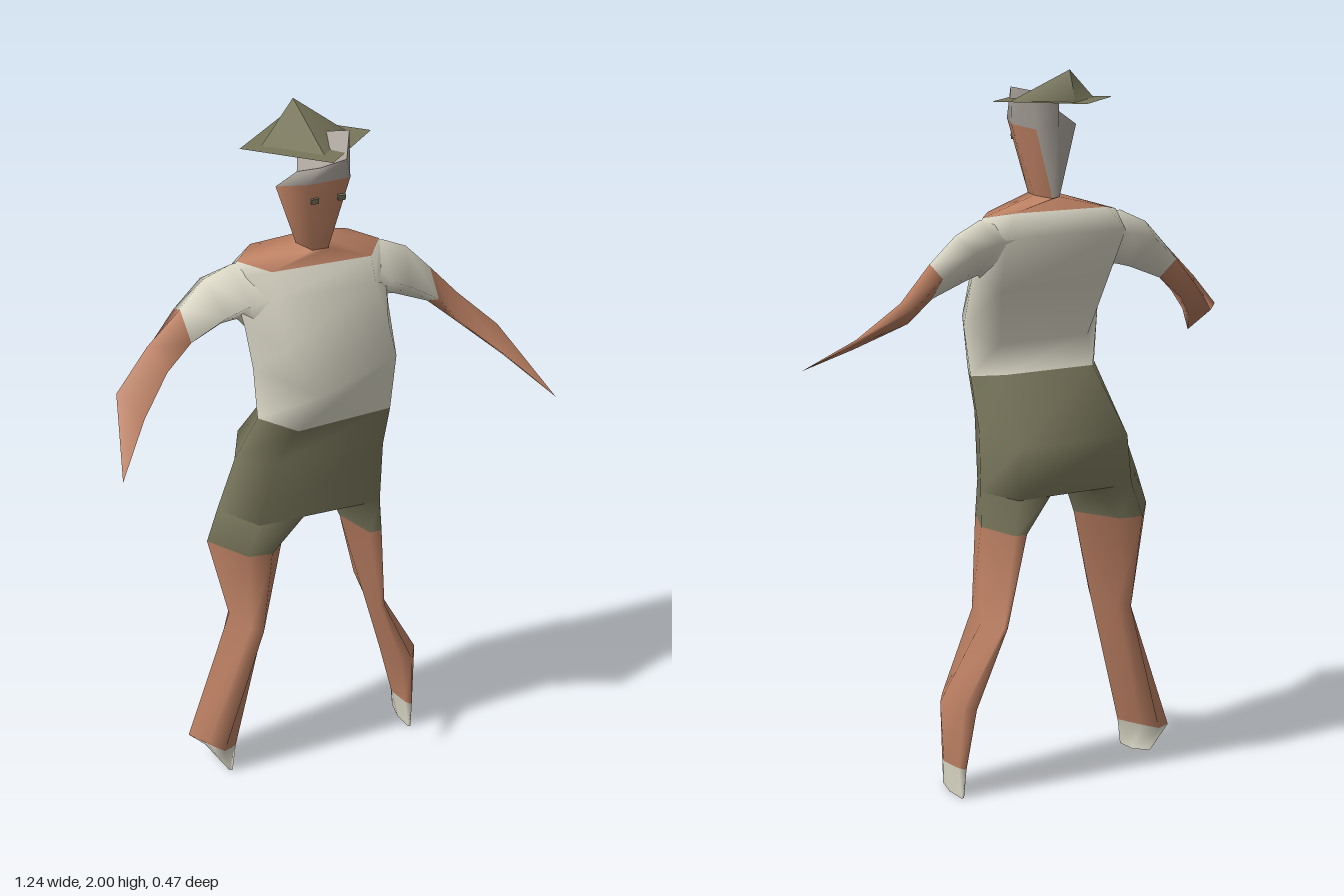
import * as THREE from 'three';

const material = (name, color, side = THREE.FrontSide) => {
  const m = new THREE.MeshStandardMaterial({ color, side });
  m.name = name;
  return m;
};

// Smooth skin over rings of points; pick(i, j) chooses the material of each quad
function loft(name, rings, mats, pick) {
  const n = rings[0].length, last = rings.length - 1;
  // The end rings are repeated so the caps keep a sharp edge
  const pos = [...rings, rings[0], rings[last]].flat(2);
  const lists = mats.map(() => []);
  for (let i = 0; i < last; i++) {
    for (let j = 0; j < n; j++) {
      const k = (j + 1) % n;
      const a = i * n + j, b = i * n + k, c = a + n, d = b + n;
      lists[pick(i, j)].push(a, b, d, a, d, c);
    }
  }
  const bottom = (last + 1) * n, top = bottom + n;
  for (let j = 1; j < n - 1; j++) {
    lists[pick(0, 0)].push(bottom, bottom + j + 1, bottom + j);
    lists[pick(last - 1, 0)].push(top, top + j, top + j + 1);
  }
  const geo = new THREE.BufferGeometry();
  geo.setAttribute('position', new THREE.Float32BufferAttribute(pos, 3));
  geo.setIndex(lists.flat());
  let start = 0;
  lists.forEach((list, m) => {
    geo.addGroup(start, list.length, m);
    start += list.length;
  });
  geo.computeVertexNormals();
  const mesh = new THREE.Mesh(geo, mats);
  mesh.name = name;
  return mesh;
}

// Level six-sided ring from its bounds; skew turns its left side forward, its right side back
function hexRing(y, x0, x1, zf, zb, skew = 0) {
  const w = x1 - x0, zm = (zf + zb) / 2;
  const a = x0 + w * 0.35, b = x0 + w * 0.65;
  return [[x0, y, zm - skew], [a, y, zf - skew], [b, y, zf], [x1, y, zm + skew], [b, y, zb + skew], [a, y, zb]];
}

export function createModel() {
  const group = new THREE.Group();
  const skin = material('skin', 0xbb7f62);
  const shirt = material('offWhiteCloth', 0xd8d5c4);
  const olive = material('oliveCloth', 0x78765b, THREE.DoubleSide);
  const hair = material('greyHair', 0xaaa39b);

  // Torso: shorts, shirt, then bare collar rising to the neck
  const neck = [[-0.05, 1.66, -0.01], [-0.03, 1.66, 0.055], [0.015, 1.66, 0.055], [0.03, 1.66, -0.01], [0.02, 1.66, -0.095], [-0.015, 1.66, -0.07]];
  const torso = [
    [[-0.27, 0.87, -0.06], [-0.19, 0.87, 0.066], [0.17, 0.87, 0.066], [0.222, 0.87, -0.06], [0.17, 0.87, -0.186], [-0.18, 0.87, -0.186]],
    [[-0.215, 1.02, -0.06], [-0.15, 1.06, 0.08], [0.17, 1.06, 0.08], [0.225, 1.04, -0.06], [0.18, 1.02, -0.21], [-0.15, 1.02, -0.21]],
    [[-0.175, 1.18, 0.02], [-0.1, 1.18, 0.13], [0.18, 1.18, 0.1], [0.22, 1.18, 0], [0.15, 1.19, -0.07], [-0.12, 1.19, -0.07]],
    [[-0.185, 1.33, 0.02], [-0.06, 1.31, 0.2], [0.2, 1.33, 0.09], [0.22, 1.31, 0.04], [0.15, 1.27, -0.04], [-0.12, 1.27, -0.04]],
    [[-0.205, 1.45, 0.02], [-0.13, 1.43, 0.135], [0.17, 1.44, 0.1], [0.213, 1.45, 0], [0.17, 1.42, -0.09], [-0.15, 1.42, -0.09]],
    [[-0.22, 1.57, -0.04], [-0.14, 1.55, 0.08], [0.14, 1.55, 0.08], [0.22, 1.57, -0.04], [0.18, 1.57, -0.14], [-0.18, 1.57, -0.14]],
    [[-0.2, 1.615, -0.05], [-0.14, 1.615, 0.05], [0.14, 1.615, 0.05], [0.205, 1.615, -0.05], [0.14, 1.63, -0.11], [-0.14, 1.63, -0.11]],
    neck,
  ];
  group.add(loft('torso', torso, [olive, shirt, skin], (i) => (i < 2 ? 0 : i < 6 ? 1 : 2)));

  // Head: face in front and on the left, hair on the crown and the right of the back
  const head = [
    neck,
    [[-0.12, 1.84, 0.03], [-0.06, 1.86, 0.1], [0.06, 1.86, 0.09], [0.085, 1.85, 0.015], [0.05, 1.84, -0.06], [-0.03, 1.84, -0.035]],
    [[-0.07, 1.88, 0.05], [-0.03, 1.905, 0.11], [0.05, 1.91, 0.09], [0.095, 1.95, 0], [0.05, 1.94, -0.04], [-0.035, 1.92, -0.03]],
  ];
  group.add(loft('head', head, [hair, skin], (i, j) => (i === 1 || j > 3 ? 0 : 1)));

  // Eyes
  for (const x of [-0.037, 0.037]) {
    const eye = new THREE.Mesh(new THREE.BoxGeometry(0.02, 0.015, 0.008), olive);
    eye.name = 'eye';
    eye.position.set(x, 1.81, 0.089);
    eye.rotation.x = 0.2;
    group.add(eye);
  }

  // Legs, from the shoe up: shoe, bare leg, then shorts meeting the hips
  const rightLeg = [
    [[-0.315, 0.035, -0.1], [-0.295, 0.02, -0.04], [-0.28, 0.01, 0.01], [-0.27, 0.008, 0.015], [-0.28, 0.008, -0.04], [-0.3, 0.025, -0.105]],
    hexRing(0.09, -0.367, -0.255, 0.02, -0.11, 0.05),
    hexRing(0.5, -0.235, -0.145, 0.047, -0.15, 0.03),
    hexRing(0.77, -0.3, -0.075, 0.065, -0.178, 0.01),
    [[-0.27, 0.87, -0.06], [-0.19, 0.87, 0.066], [-0.06, 0.87, 0.066], [-0.035, 0.87, -0.06], [-0.06, 0.87, -0.186], [-0.18, 0.87, -0.186]],
  ];
  group.add(loft('rightLeg', rightLeg, [shirt, skin, olive], (i) => (i < 1 ? 0 : i < 3 ? 1 : 2)));
  const leftLeg = [
    hexRing(0.005, 0.295, 0.32, 0.015, -0.105),
    hexRing(0.09, 0.282, 0.327, 0.02, -0.11, 0.02),
    hexRing(0.27, 0.238, 0.337, 0.032, -0.128, 0.02),
    hexRing(0.5, 0.172, 0.215, 0.047, -0.15),
    hexRing(0.77, 0.1, 0.22, 0.065, -0.178),
    [[0.055, 0.87, -0.06], [0.075, 0.87, 0.066], [0.17, 0.87, 0.066], [0.222, 0.87, -0.06], [0.17, 0.87, -0.186], [0.075, 0.87, -0.186]],
  ];
  group.add(loft('leftLeg', leftLeg, [shirt, skin, olive], (i) => (i < 1 ? 0 : i < 4 ? 1 : 2)));

  // Arms: sleeve, then bare forearm narrowing to a point (top, front, bottom, back)
  const tip = [0.618, 1.19, 0.23];
  const arm = [
    [[0.14, 1.61, -0.05], [0.12, 1.55, 0.075], [0.16, 1.4, 0], [0.12, 1.57, -0.135]],
    [[0.215, 1.61, -0.05], [0.2, 1.53, 0.055], [0.21, 1.46, -0.03], [0.2, 1.56, -0.145]],
    [[0.29, 1.575, -0.06], [0.26, 1.5, 0.037], [0.25, 1.45, -0.04], [0.27, 1.54, -0.145]],
    [[0.36, 1.505, -0.05], [0.355, 1.44, 0.022], [0.35, 1.41, -0.04], [0.355, 1.475, -0.12]],
    [[0.45, 1.41, -0.06], [0.42, 1.36, 0.01], [0.42, 1.35, -0.04], [0.425, 1.4, -0.1]],
    [[0.555, 1.315, -0.01], [0.515, 1.285, 0.1], [0.525, 1.27, 0.08], [0.562, 1.29, 0.02]],
    [tip, tip, tip, tip],
  ];
  const mirrored = arm.map((ring) => ring.map(([x, y, z]) => [-x, y, z]).reverse());
  group.add(loft('leftArm', arm, [shirt, skin], (i) => (i < 3 ? 0 : 1)));
  group.add(loft('rightArm', mirrored, [shirt, skin], (i) => (i < 3 ? 0 : 1)));

  // Hat: four-sided crown leaning back over a flat diamond brim
  const hat = new THREE.Group();
  hat.name = 'hat';
  hat.position.set(0, 1.918, -0.06);
  const cone = new THREE.ConeGeometry(0.123, 0.082, 4);
  cone.translate(0, 0.041, 0);
  const p = cone.attributes.position;
  for (let i = 0; i < p.count; i++) p.setZ(i, p.getZ(i) - p.getY(i) * 1.1);
  cone.computeVertexNormals();
  const crown = new THREE.Mesh(cone, olive);
  crown.name = 'hatCrown';
  const brim = new THREE.Mesh(new THREE.RingGeometry(0.12, 0.182, 4).rotateX(-Math.PI / 2), olive);
  brim.name = 'hatBrim';
  hat.add(crown, brim);
  group.add(hat);

  return group;
}
